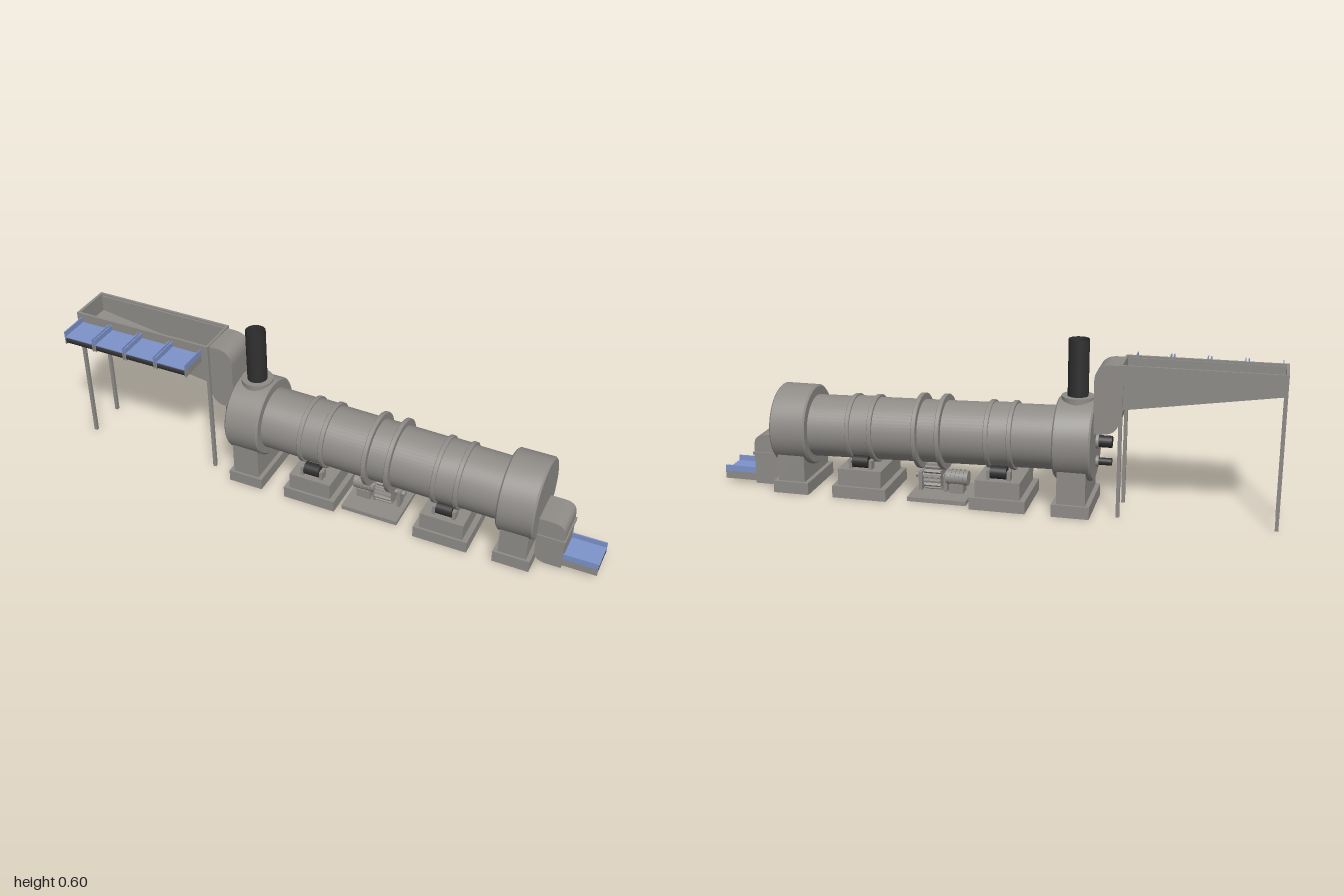
import * as THREE from 'three';
import { toCreasedNormals } from 'three/addons/utils/BufferGeometryUtils.js';

export function createModel() {
  const root = new THREE.Group();
  root.name = 'rotaryDryer';
  const paint = (name, color, side = THREE.FrontSide) => {
    const m = new THREE.MeshStandardMaterial({ color, side });
    m.name = name;
    return m;
  };
  const steel = paint('greySteel', 0x8f8c88);
  const dark = paint('darkRubber', 0x303030, THREE.DoubleSide);
  const blue = paint('blueBelt', 0x7d93cb);
  const ZC = -0.022; // drum axis depth

  const add = (name, geo, mat = steel, parent = root) => {
    const m = new THREE.Mesh(geo, mat);
    m.name = name;
    parent.add(m);
    return m;
  };
  // box given by its limits
  const box = (name, x0, x1, y0, y1, z0, z1, mat = steel, parent = root) => {
    const g = new THREE.BoxGeometry(x1 - x0, y1 - y0, z1 - z0);
    g.translate((x0 + x1) / 2, (y0 + y1) / 2, (z0 + z1) / 2);
    return add(name, g, mat, parent);
  };
  // cylinder along x
  const rod = (name, x0, x1, r, y, z, mat = steel, parent = root, seg = 24) => {
    const g = new THREE.CylinderGeometry(r, r, x1 - x0, seg);
    g.rotateZ(-Math.PI / 2).translate((x0 + x1) / 2, y, z);
    return add(name, g, mat, parent);
  };
  // bevelled disc along x
  const drumDisc = (name, x0, x1, r, y, bevel, parent = root, z = ZC) => {
    const h = (x1 - x0) / 2;
    const pts = [[0, -h], [r - bevel, -h], [r, -h + bevel], [r, h - bevel], [r - bevel, h], [0, h]];
    let g = new THREE.LatheGeometry(pts.map(p => new THREE.Vector2(...p)), 56);
    g = toCreasedNormals(g, 0.5);
    g.rotateZ(-Math.PI / 2).translate((x0 + x1) / 2, y, z);
    return add(name, g, steel, parent);
  };
  // profile in x/y, extruded from z0 to z1
  const slab = (name, shape, z0, z1) => {
    let g = new THREE.ExtrudeGeometry(shape, { depth: z1 - z0, bevelEnabled: false, curveSegments: 10 });
    g = toCreasedNormals(g, 0.5);
    g.translate(0, 0, z0);
    return add(name, g);
  };

  // Sloping drum with riding rings and girth rings
  const drum = new THREE.Group();
  drum.name = 'drum';
  drum.position.set(0.2, 0.238, 0);
  drum.rotation.z = -0.0225;
  root.add(drum);
  drumDisc('drumShell', -0.48, 0.5, 0.112, 0, 0.001, drum);
  for (const x of [-0.245, 0.258]) {
    drumDisc('tyre', x - 0.035, x + 0.035, 0.115, 0, 0.001, drum);
    for (const s of [-1, 1]) drumDisc('tyreRing', x + s * 0.041 - 0.008, x + s * 0.041 + 0.008, 0.122, 0, 0.002, drum);
  }
  for (const x of [-0.034, 0.051]) drumDisc('girthRing', x - 0.008, x + 0.008, 0.135, 0, 0.002, drum);

  // End hoods with pedestals
  for (const [x, y] of [[-0.304, 0.251], [0.716, 0.231]]) {
    drumDisc('hood', x - 0.066, x + 0.066, 0.145, y, 0.006);
    box('hoodPedestal', x - 0.05, x + 0.05, 0.04, y - 0.05, -0.136, 0.094);
    box('hoodFooting', x - 0.066, x + 0.066, 0, 0.044, -0.147, 0.103);
  }

  // Roller stations
  for (const x of [-0.046, 0.458]) {
    box('rollerFooting', x - 0.1, x + 0.1, 0, 0.044, -0.147, 0.103);
    box('rollerPlinth', x - 0.08, x + 0.08, 0.044, 0.106, -0.136, 0.094);
    for (const s of [-1, 1]) {
      const z = ZC + s * 0.083;
      rod('supportRoller', x - 0.029, x + 0.029, 0.023, 0.131, z, dark);
      rod('rollerShaft', x - 0.044, x + 0.044, 0.007, 0.131, z);
      for (const e of [-1, 1]) {
        const bx = x + e * 0.037;
        box('rollerBearing', bx - 0.006, bx + 0.006, 0.106, 0.14, z - 0.016, z + 0.016);
      }
    }
  }

  // Drive: bed plate, ribbed motor, toothed pinion and bearings
  box('driveBed', 0.072, 0.286, 0, 0.016, -0.12, 0.076);
  rod('motor', 0.085, 0.165, 0.027, 0.069, ZC);
  for (let i = 0; i < 4; i++) rod('motorRib', 0.1 + i * 0.015, 0.105 + i * 0.015, 0.03, 0.069, ZC);
  box('motorFoot', 0.1, 0.152, 0.016, 0.05, ZC - 0.026, ZC + 0.026);
  rod('driveShaft', 0.165, 0.28, 0.01, 0.069, ZC);
  const gear = new THREE.Shape();
  for (let i = 0; i < 16; i++) {
    for (const [t, r] of [[0, 0.04], [0.3, 0.04], [0.45, 0.049], [0.8, 0.049]]) {
      const a = ((i + t) / 16) * Math.PI * 2;
      gear[i + t ? 'lineTo' : 'moveTo'](r * Math.cos(a), r * Math.sin(a));
    }
  }
  const gearGeo = new THREE.ExtrudeGeometry(gear, { depth: 0.062, bevelEnabled: false });
  gearGeo.rotateY(Math.PI / 2).translate(0.178, 0.069, ZC);
  add('pinion', gearGeo);
  for (const x of [0.167, 0.26]) box('pinionBearing', x - 0.006, x + 0.006, 0.016, 0.085, ZC - 0.02, ZC + 0.02);

  // Chimney on its collar
  const collar = new THREE.CylinderGeometry(0.057, 0.057, 0.05, 40);
  collar.translate(-0.304, 0.379, ZC);
  add('chimneyCollar', collar);
  const pipe = new THREE.CylinderGeometry(0.036, 0.036, 0.2, 40, 1, true);
  pipe.translate(-0.304, 0.502, ZC);
  add('chimney', pipe, dark);

  // Ducts with rounded upper right and lower left corners
  const duct = (name, x0, x1, y0, y1, r) => {
    const s = new THREE.Shape();
    s.moveTo(x0 + r, y0);
    s.lineTo(x1, y0);
    s.lineTo(x1, y1 - r);
    s.quadraticCurveTo(x1, y1, x1 - r, y1);
    s.lineTo(x0, y1);
    s.lineTo(x0, y0 + r);
    s.quadraticCurveTo(x0, y0, x0 + r, y0);
    slab(name, s, -0.088, 0.045);
  };
  duct('feedElbow', -0.457, -0.368, 0.29, 0.532, 0.06);
  duct('dischargeChute', 0.78, 0.877, 0.007, 0.195, 0.045);
  box('chuteFlange', 0.778, 0.882, 0.117, 0.128, -0.093, 0.05);

  // Burner nozzles on the feed hood
  for (const [y, r] of [[0.241, 0.021], [0.168, 0.013]]) {
    rod('burner', -0.425, -0.376, r, y, -0.01, dark);
    rod('burnerFlange', -0.38, -0.368, r + 0.006, y, -0.01);
  }

  // Open feed trough with sloping floor, rim and legs
  const side = new THREE.Shape();
  [[-0.995, 0.462], [-0.457, 0.38], [-0.457, 0.53], [-0.995, 0.53]].forEach((p, i) => side[i ? 'lineTo' : 'moveTo'](...p));
  slab('troughBackSide', side, -0.092, -0.086);
  slab('troughFrontSide', side, 0.044, 0.05);
  const floor = new THREE.Shape();
  [[-0.995, 0.462], [-0.457, 0.38], [-0.457, 0.388], [-0.995, 0.47]].forEach((p, i) => floor[i ? 'lineTo' : 'moveTo'](...p));
  slab('troughFloor', floor, -0.09, 0.048);
  box('troughEnd', -0.463, -0.455, 0.38, 0.537, -0.1, 0.058);
  box('troughStartRim', -1, -0.99, 0.462, 0.537, -0.1, 0.058);
  box('troughBackRim', -1, -0.455, 0.467, 0.537, -0.1, -0.091);
  box('troughFrontRim', -1, -0.455, 0.467, 0.537, 0.049, 0.058);
  for (const x of [-1, -0.467]) {
    for (const z of [-0.1, 0.046]) box('troughLeg', x, x + 0.012, 0, 0.47, z, z + 0.012);
  }

  // Belt conveyor along local x, resting at local y = 0
  const conveyor = (name, len, wide) => {
    const g = new THREE.Group();
    g.name = name;
    const w = wide / 2;
    box('conveyorBelt', 0, len - 0.014, 0.001, 0.028, -w + 0.004, w - 0.004, dark, g);
    rod('endRoller', -w + 0.004, w - 0.004, 0.014, 0, 0, dark, g).rotation.y = Math.PI / 2;
    g.children[1].position.set(len - 0.014, 0.0145, 0);
    rod('rollerAxle', -w - 0.002, w + 0.002, 0.007, 0, 0, steel, g).rotation.y = Math.PI / 2;
    g.children[2].position.set(len - 0.014, 0.0145, 0);
    box('beltSurface', 0, len, 0.028, 0.031, -w, w, blue, g);
    for (const s of [-1, 1]) {
      const z = s * (w - 0.002);
      box('sideRail', 0, len, 0, 0.028, z - 0.002, z + 0.002, steel, g);
      box('sideGuard', 0, len, 0.028, 0.051, z - 0.002, z + 0.002, blue, g);
    }
    root.add(g);
    return g;
  };
  for (let i = 0; i < 4; i++) {
    const c = conveyor('feedConveyor', 0.11, 0.12);
    c.rotation.y = -Math.PI / 2;
    c.position.set(-0.922 + i * 0.127, 0.471, 0.058);
  }
  conveyor('dischargeConveyor', 0.125, 0.12).position.set(0.875, 0.014, -0.022);

  return root;
}
